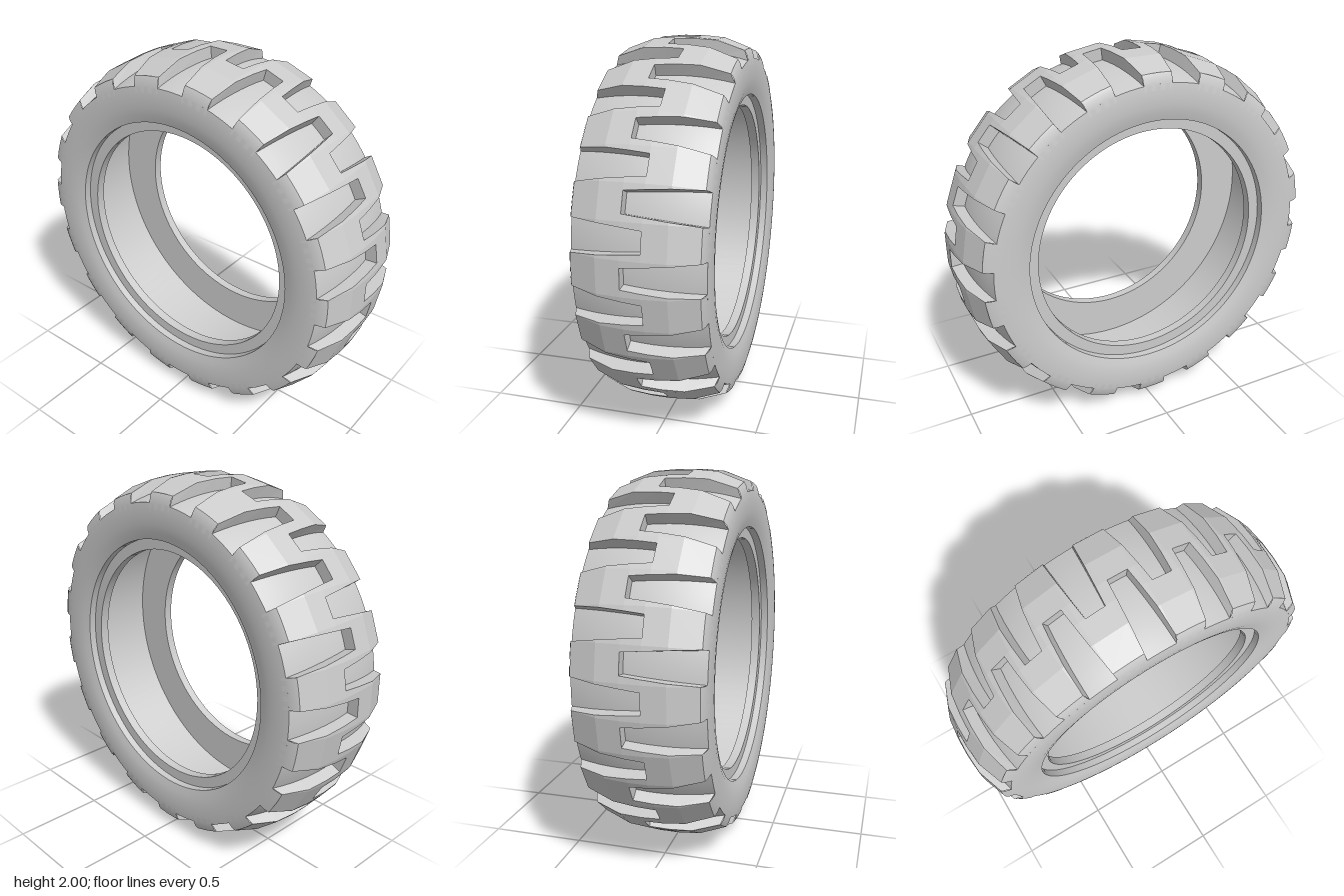
import * as THREE from 'three';

const rad = THREE.MathUtils.degToRad;
const material = new THREE.MeshStandardMaterial({ color: 0xcccccc });
const flatMaterial = new THREE.MeshStandardMaterial({ color: 0xcccccc, flatShading: true });

const EDGE = 0.312; // z of the tread's outer edge
const REACH = 0.05; // how far each groove runs past the centre line
const floorRadius = z => 0.94 - 0.05 * (z / 0.33) ** 2;

// Surface of revolution about z from [radius, z] points; outside runs toward +z
function ring(name, points, segments = 108, start = 0, length = Math.PI * 2) {
  const profile = points.map(([r, z]) => new THREE.Vector2(r, z));
  const g = new THREE.LatheGeometry(profile, segments, start, length);
  g.rotateX(Math.PI / 2);
  const mesh = new THREE.Mesh(g, material);
  mesh.name = name;
  return mesh;
}

// One lug of the front half: a block that forks round the end of the opposite groove
function lugGeometry() {
  const pos = [];
  const point = (deg, z, r) => [r * Math.sin(rad(deg)), r * Math.cos(rad(deg)), z];
  const quad = (a, b, c, d) => pos.push(...a, ...b, ...c, ...a, ...c, ...d);
  const crown = z => z > 0.17 ? 0.99 - 0.052 * (z - 0.17) / (EDGE - 0.17)
    : z > REACH ? 1 - 0.01 * (z - REACH) / (0.17 - REACH) : 1;
  const top = (deg, z) => {
    const local = Math.abs(deg) <= 5 ? deg : 10 - Math.abs(deg);
    return point(deg, z, crown(z) / Math.cos(rad(local)));
  };
  const base = (deg, z) => point(deg, z * 1.06, floorRadius(z) - 0.01);
  const wall = (a, za, b, zb) => quad(base(a, za), base(b, zb), top(b, zb), top(a, za));
  // groove half angles, in degrees
  const halfGroove = z => 3 + 2 * (z + REACH) / (EDGE + REACH);
  const outer = z => 10 - halfGroove(z);
  const inner = z => halfGroove(-z);

  const strip = (z0, z1, columns) => {
    const a = columns(z0), b = columns(z1);
    for (let i = 0; i < a.length - 1; i++) {
      quad(top(a[i], z0), top(a[i + 1], z0), top(b[i + 1], z1), top(b[i], z1));
    }
  };
  const rows = [EDGE, 0.17, REACH, 0];
  for (let i = 0; i < 3; i++) {
    const z0 = rows[i], z1 = rows[i + 1];
    if (i < 2) {
      strip(z0, z1, z => [-outer(z), -5, 5, outer(z)]);
    } else {
      strip(z0, z1, z => [inner(z), 5, outer(z)]);
      strip(z0, z1, z => [-outer(z), -5, -inner(z)]);
      wall(inner(z1), z1, inner(z0), z0);
      wall(-inner(z0), z0, -inner(z1), z1);
    }
    wall(outer(z0), z0, outer(z1), z1);
    wall(-outer(z1), z1, -outer(z0), z0);
  }
  wall(3, REACH, -3, REACH);

  const g = new THREE.BufferGeometry();
  g.setAttribute('position', new THREE.Float32BufferAttribute(pos, 3));
  g.computeVertexNormals();
  return g;
}

export function createModel() {
  const model = new THREE.Group();
  model.name = 'tire';
  const wheel = new THREE.Group();
  wheel.name = 'tireBody';
  wheel.position.y = 1;
  model.add(wheel);

  // Groove floor
  const floor = [];
  for (let i = -6; i <= 6; i++) floor.push([floorRadius(i * 0.055), i * 0.055]);
  wheel.add(ring('grooveFloor', floor));

  // Sidewall, stepped bead and inner face, the same on both sides
  const sideParts = {
    Sidewall: [[0.89, 0.33], [0.86, 0.334], [0.82, 0.335], [0.78, 0.333], [0.74, 0.327], [0.7, 0.315]],
    BeadStep: [[0.7, 0.315], [0.7, 0.275]],
    BeadLedge: [[0.7, 0.275], [0.64, 0.275]],
    BeadLip: [[0.64, 0.275], [0.64, 0.225]],
    InnerFace: [[0.64, 0.225], [0.87, 0.225]],
  };
  for (const [name, points] of Object.entries(sideParts)) {
    wheel.add(ring('front' + name, points));
    wheel.add(ring('back' + name, points.map(([r, z]) => [r, -z]).reverse()));
  }
  wheel.add(ring('innerCavity', [[0.87, 0.225], [0.87, -0.225]]));

  // One lug, its rounded end running flush into the sidewall
  const lug = new THREE.Group();
  lug.name = 'treadLug';
  const block = new THREE.Mesh(lugGeometry(), flatMaterial);
  block.name = 'lugBlock';
  const shoulder = [[0.941, EDGE], [0.92, 0.323], [0.89, 0.33], [0.86, 0.334]];
  lug.add(block, ring('lugShoulder', shoulder, 3, Math.PI - rad(5), rad(10)));

  // Tread: 18 lugs per side, the back set turned over and staggered by half a pitch
  const front = new THREE.Group();
  front.name = 'frontTread';
  for (let i = 0; i < 18; i++) {
    const copy = lug.clone();
    copy.rotation.z = -rad(10 + 20 * i);
    front.add(copy);
  }
  const back = front.clone();
  back.name = 'backTread';
  back.quaternion.setFromAxisAngle(new THREE.Vector3(Math.sin(rad(5)), Math.cos(rad(5)), 0), Math.PI);
  wheel.add(front, back);
  return model;
}
